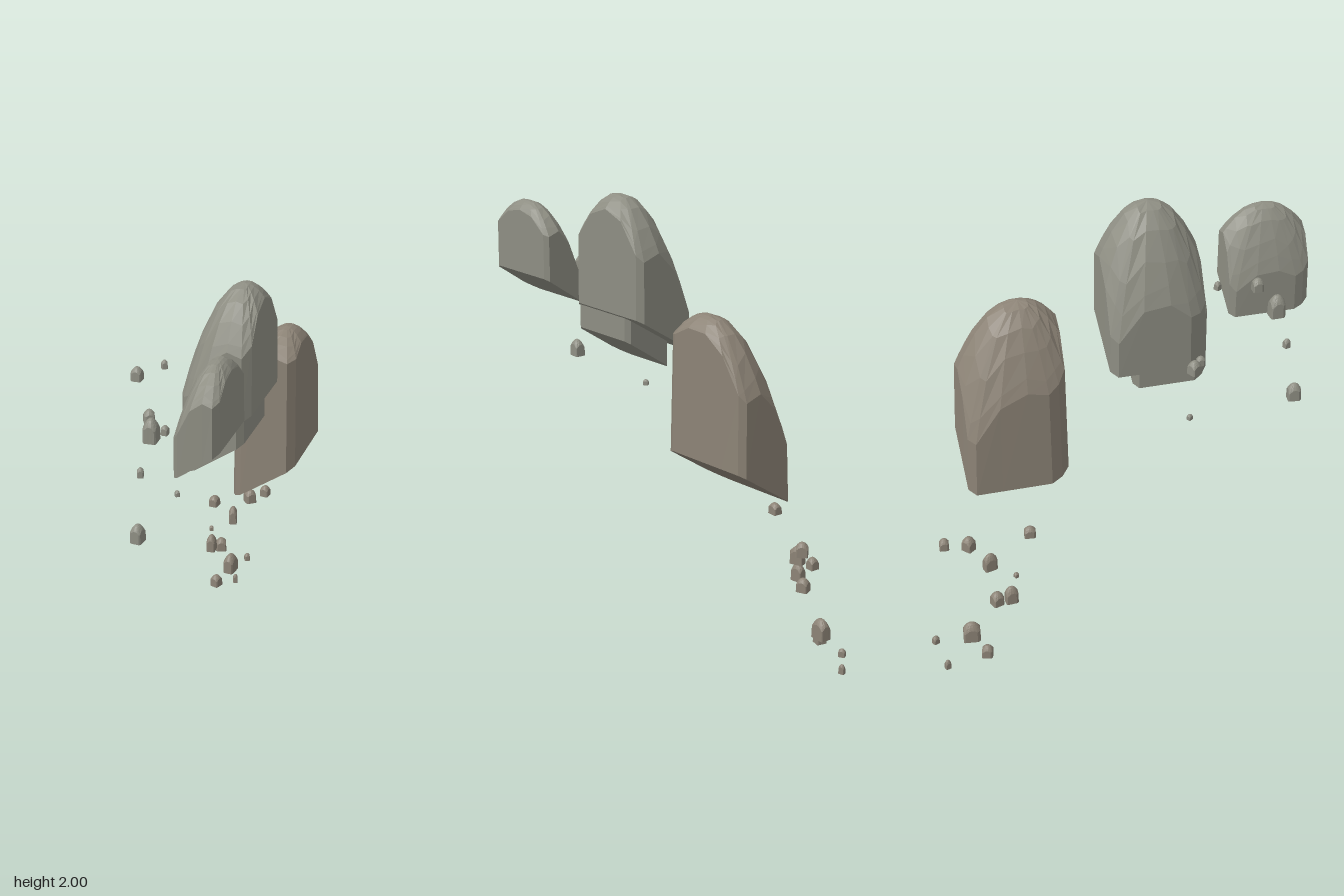
import * as THREE from 'three';

// Footprint of a rock in unit coordinates, running from +x towards +z, with chamfered corners
const FOOTPRINT = [
  [1, 0], [1, 0.45], [1, 0.82], [0.8, 1], [0.4, 1], [-0.1, 1], [-0.62, 1], [-0.85, 0.84], [-1, 0.62],
  [-1, 0.2], [-1, -0.35], [-1, -0.86], [-0.82, -1], [-0.3, -1], [0.3, -1], [0.85, -1], [1, -0.88], [1, -0.45],
];

// Rings from the underside to the crown: [scale, 0 = underside / 1 = domed top]
const RINGS = [[0, 0], [1, 0], [1, 1], [0.9, 1], [0.72, 1], [0.48, 1], [0.24, 1], [0, 1]];

function seeded(seed) {
  let s = seed;
  return () => (s = (s * 16807) % 2147483647) / 2147483647 - 0.5;
}

// Domed rock: straight walls above a flat (possibly slanted) underside.
// w, d: half sizes; base: height of the underside's middle; rise: its half slant along x;
// dropX, dropZ: how far the dome falls towards the sides; ax, az: place of the crown
function rockGeometry({ w, d, base, top, rise, dropX, dropZ, ax, az, taper, seed }) {
  const rand = seeded(seed);
  const n = FOOTPRINT.length;
  const positions = [];
  const index = [];
  RINGS.forEach(([s, dome]) => {
    FOOTPRINT.forEach(([fu, fv]) => {
      const wobble = dome && s > 0 && s < 1 ? 0.09 : 0;
      const k = s * (1 + wobble * rand());
      const u = dome ? ax + (fu - ax) * k : fu * s;
      const v = dome ? az + (fv - az) * k : fv * s;
      const y = dome
        ? top - dropX * ((u - ax) / (1 + Math.abs(ax))) ** 2 - dropZ * Math.abs(v - az) ** 2.2
        : base + rise * u;
      const t = dome ? taper : 1;
      positions.push(u * w * t, y, v * d * t);
    });
  });
  for (let r = 0; r < RINGS.length - 1; r++) {
    for (let j = 0; j < n; j++) {
      const a = r * n + j, b = r * n + (j + 1) % n;
      if (RINGS[r][0] > 0) index.push(a, a + n, b);
      if (RINGS[r + 1][0] > 0) index.push(b, a + n, b + n);
      else if (RINGS[r][0] === 0) continue;
    }
  }
  const g = new THREE.BufferGeometry();
  g.setAttribute('position', new THREE.Float32BufferAttribute(positions, 3));
  g.setIndex(index);
  const flat = g.toNonIndexed();
  flat.computeVertexNormals();
  return flat;
}

export function createModel() {
  const model = new THREE.Group();
  const grey = new THREE.MeshStandardMaterial({ color: 0x8e8e83, flatShading: true });
  const brown = new THREE.MeshStandardMaterial({ color: 0x8c8376, flatShading: true });

  function addRock(name, material, x, z, turn, options) {
    const mesh = new THREE.Mesh(rockGeometry(options), material);
    mesh.name = name;
    mesh.position.set(x, 0, z);
    mesh.rotation.y = turn;
    model.add(mesh);
  }

  // Large floating boulders with slanted undersides
  addRock('backBoulder', brown, 0.15, -0.42, -0.18, {
    w: 0.15, d: 0.227, base: 0.89, top: 1.6, rise: 0.1,
    dropX: 0.34, dropZ: 0.17, ax: 0.45, az: 0.25, taper: 0.96, seed: 11 });
  addRock('middleBoulder', grey, 0.016, 0.18, -0.18, {
    w: 0.156, d: 0.215, base: 1.4, top: 2, rise: 0.1,
    dropX: 0.38, dropZ: 0.22, ax: 0.45, az: 0, taper: 0.99, seed: 23 });
  addRock('lowerMiddleBoulder', grey, 0.01, 0.24, -0.18, {
    w: 0.126, d: 0.167, base: 1.295, top: 1.8, rise: 0.085,
    dropX: 0.28, dropZ: 0.13, ax: 0.45, az: 0, taper: 1, seed: 37 });
  addRock('frontBoulder', grey, 0.005, 0.72, -0.18, {
    w: 0.1, d: 0.182, base: 1.5, top: 1.89, rise: 0.07,
    dropX: 0.26, dropZ: 0.11, ax: 0.45, az: 0, taper: 0.99, seed: 41 });

  // Small loose stones: x, z, underside height, top height, width, depth, turn
  function addStones(name, material, list) {
    list.forEach(([x, z, y0, y1, width, depth, turn], i) => {
      const h = y1 - y0;
      addRock(name + (i + 1), material, x, z, turn, {
        w: width / 2, d: depth / 2, base: y0, top: y1, rise: 0,
        dropX: h * 0.32, dropZ: h * 0.28, ax: 0.05, az: 0, taper: 0.96, seed: 101 + i * 17 });
    });
  }
  addStones('upperStone', grey, [
    [-0.305, 0.51, 1.69, 1.747, 0.044, 0.046, -0.2],
    [-0.218, 0.37, 1.685, 1.722, 0.025, 0.026, 0.3],
    [-0.228, 0.655, 1.495, 1.595, 0.058, 0.066, -0.15],
    [-0.312, 0.22, 1.37, 1.43, 0.046, 0.05, 0.3],
    [-0.268, 0.69, 1.352, 1.393, 0.027, 0.03, 0.1],
    [-0.235, 0.29, 1.352, 1.393, 0.032, 0.036, -0.2],
    [-0.277, 0.735, 1.085, 1.163, 0.05, 0.058, -0.3],
    [-0.19, 0.27, 1.057, 1.083, 0.02, 0.024, 0.4],
  ]);
  addStones('lowerStone', brown, [
    [-0.135, -0.47, 0.635, 0.685, 0.042, 0.05, -0.3],
    [0.005, -0.7, 0.545, 0.61, 0.05, 0.052, 0.5],
    [0.068, -0.792, 0.535, 0.588, 0.042, 0.042, -0.3],
    [-0.068, -0.633, 0.465, 0.547, 0.038, 0.06, 0.08],
    [-0.16, -0.55, 0.457, 0.48, 0.02, 0.02, 0.2],
    [-0.165, -0.578, 0.335, 0.417, 0.042, 0.056, -0.1],
    [-0.125, -0.63, 0.312, 0.375, 0.05, 0.052, 0.15],
    [-0.095, -0.745, 0.132, 0.225, 0.054, 0.076, -0.3],
    [-0.03, -0.892, 0.115, 0.152, 0.026, 0.03, 0.25],
    [-0.16, -0.7, 0.07, 0.128, 0.046, 0.048, -0.5],
    [-0.085, -0.862, 0, 0.045, 0.022, 0.026, 0.1],
  ]);

  return model;
}
